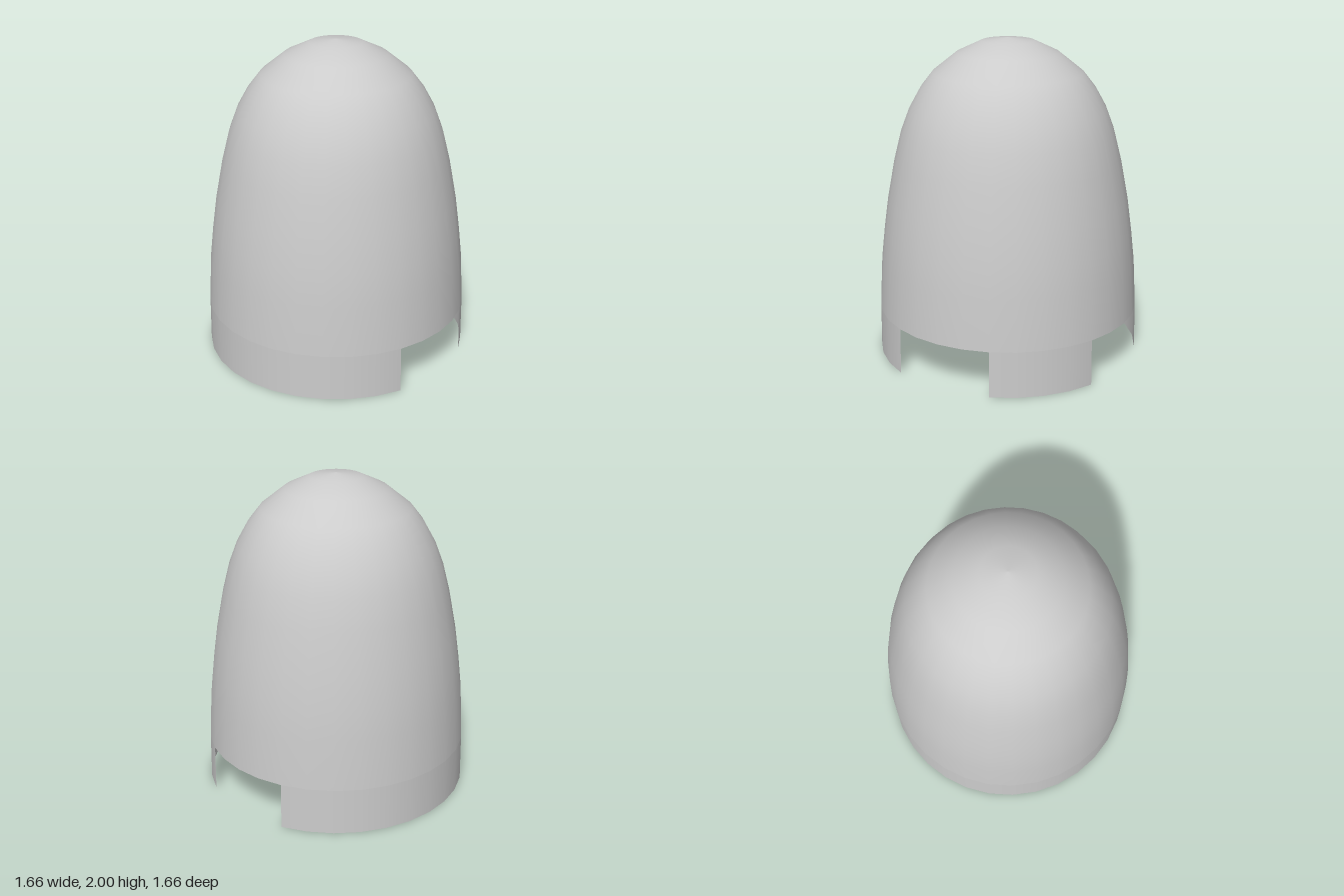
import * as THREE from 'three';

const SEGMENTS = 32;
const STEP = (Math.PI * 2) / SEGMENTS;

// Outer profile of the dome, from the notch height up to the tip
const DOME = [
  [0.826, 0.29], [0.808, 0.6], [0.785, 0.8], [0.757, 1.0], [0.709, 1.25], [0.663, 1.43],
  [0.61, 1.57], [0.543, 1.69], [0.465, 1.79], [0.318, 1.907], [0.163, 1.98], [0, 2],
];
// Straight skirt below it
const SKIRT = [[0.83, 0], [0.826, 0.29]];

export function createModel() {
  const group = new THREE.Group();
  group.name = 'notchedDome';
  const material = new THREE.MeshStandardMaterial({ color: 0xcccccc, side: THREE.DoubleSide });

  // Revolves a profile from one facet to another (facet 0 faces +z, facet 8 faces +x)
  const shell = (name, profile, from, to) => {
    const points = profile.map(([r, y]) => new THREE.Vector2(r, y));
    const geometry = new THREE.LatheGeometry(points, to - from, from * STEP, (to - from) * STEP);
    const mesh = new THREE.Mesh(geometry, material);
    mesh.name = name;
    group.add(mesh);
  };

  shell('dome', DOME, 0, SEGMENTS);
  // The skirt leaves two open notches, at +x (facets 6-10) and at -z (facets 14-18)
  shell('cornerSkirt', SKIRT, 10, 14);
  shell('mainSkirt', SKIRT, 18, 38);

  return group;
}
